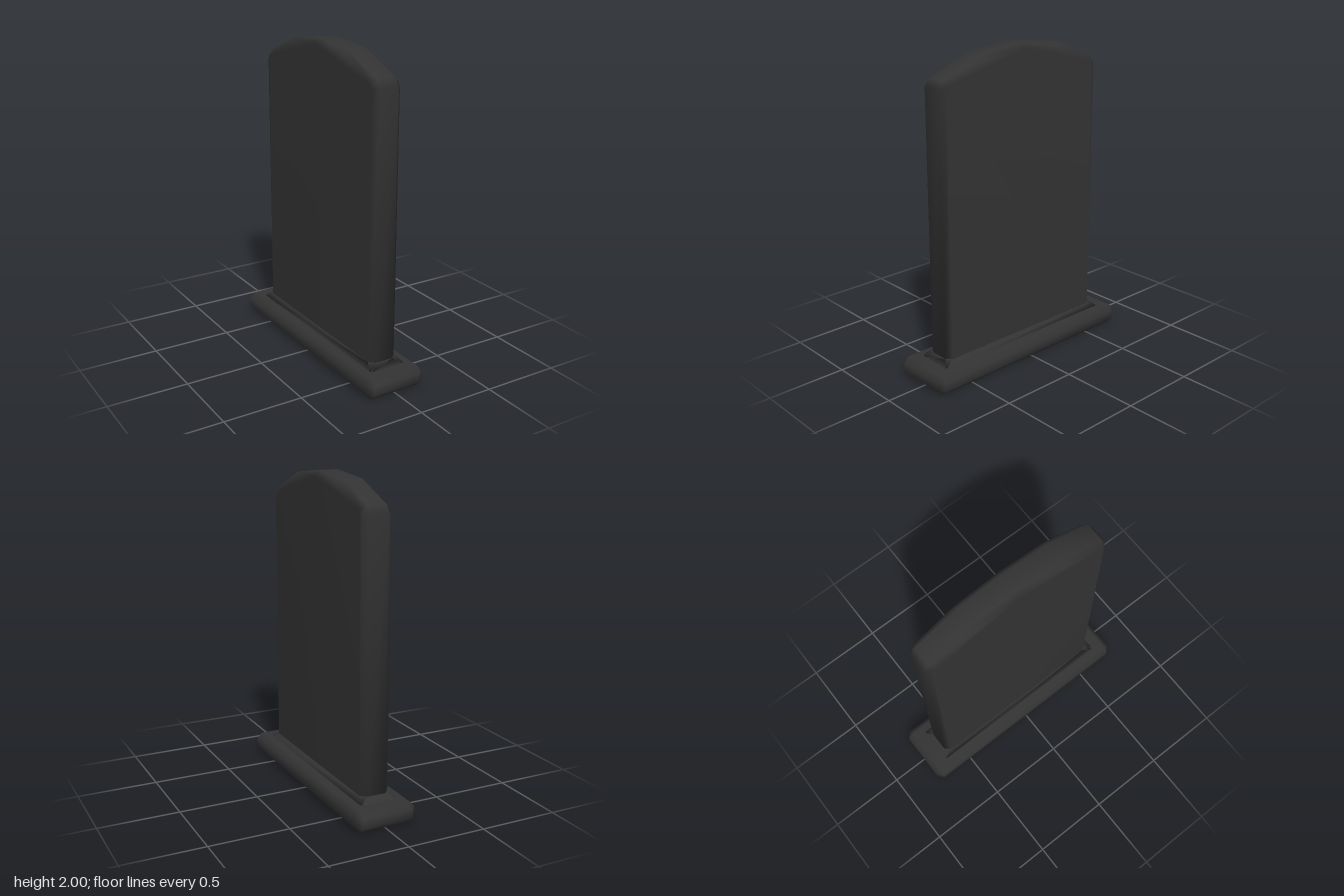
import * as THREE from 'three';
import { mergeVertices } from 'three/addons/utils/BufferGeometryUtils.js';

const stone = new THREE.MeshStandardMaterial({ color: 0x333333 });

// Weld the corners so the narrow bevels shade softly into the wide faces.
function soften(geometry) {
  geometry.deleteAttribute('normal');
  geometry.deleteAttribute('uv');
  const welded = mergeVertices(geometry, 1e-4);
  welded.computeVertexNormals();
  return welded;
}

function part(name, geometry) {
  const mesh = new THREE.Mesh(soften(geometry), stone);
  mesh.name = name;
  return mesh;
}

// Stack of rectangles with cut corners; each ring is [y, halfX, halfZ, cornerCut].
function stackedRings(rings) {
  const positions = [], index = [];
  for (const [y, hx, hz, c] of rings) {
    const outline = [
      [hx, -hz + c], [hx, hz - c], [hx - c, hz], [-hx + c, hz],
      [-hx, hz - c], [-hx, -hz + c], [-hx + c, -hz], [hx - c, -hz],
    ];
    for (const [x, z] of outline) positions.push(x, y, z);
  }
  for (let i = 0; i < rings.length - 1; i++) {
    for (let j = 0; j < 8; j++) {
      const a = i * 8 + j, b = i * 8 + (j + 1) % 8;
      index.push(a, a + 8, b, b, a + 8, b + 8);
    }
  }
  const top = (rings.length - 1) * 8;
  for (let k = 1; k < 7; k++) {
    index.push(0, k, k + 1);
    index.push(top, top + k + 1, top + k);
  }
  const geometry = new THREE.BufferGeometry();
  geometry.setAttribute('position', new THREE.Float32BufferAttribute(positions, 3));
  geometry.setIndex(index);
  return geometry;
}

export function createModel() {
  const group = new THREE.Group();
  group.name = 'headstone';

  // Bevelled plinth
  group.add(part('plinth', stackedRings([
    [0, 0.163, 0.727, 0],
    [0.037, 0.198, 0.764, 0.036],
    [0.095, 0.198, 0.764, 0.036],
    [0.13, 0.163, 0.727, 0],
  ])));

  // Sloping collar where the slab meets the plinth
  group.add(part('collar', stackedRings([
    [0.125, 0.125, 0.665, 0.01],
    [0.16, 0.094, 0.621, 0.033],
  ])));

  // Upright slab with a faceted arched top, bevelled all round
  const half = [[0.621, 0.08], [0.621, 1.805], [0.588, 1.852], [0.31, 1.968]];
  const outline = [
    ...half, [0, 2],
    ...half.map(([z, y]) => [-z, y]).reverse(),
  ].map(([z, y]) => new THREE.Vector2(z, y));
  const bevel = 0.034, thickness = 0.188;
  const slab = new THREE.ExtrudeGeometry(new THREE.Shape(outline), {
    depth: thickness - 2 * bevel,
    bevelEnabled: true,
    bevelThickness: bevel,
    bevelSize: bevel,
    bevelOffset: -bevel,
    bevelSegments: 1,
  });
  slab.translate(0, 0, bevel - thickness / 2);
  slab.rotateY(Math.PI / 2);
  group.add(part('slab', slab));

  return group;
}
